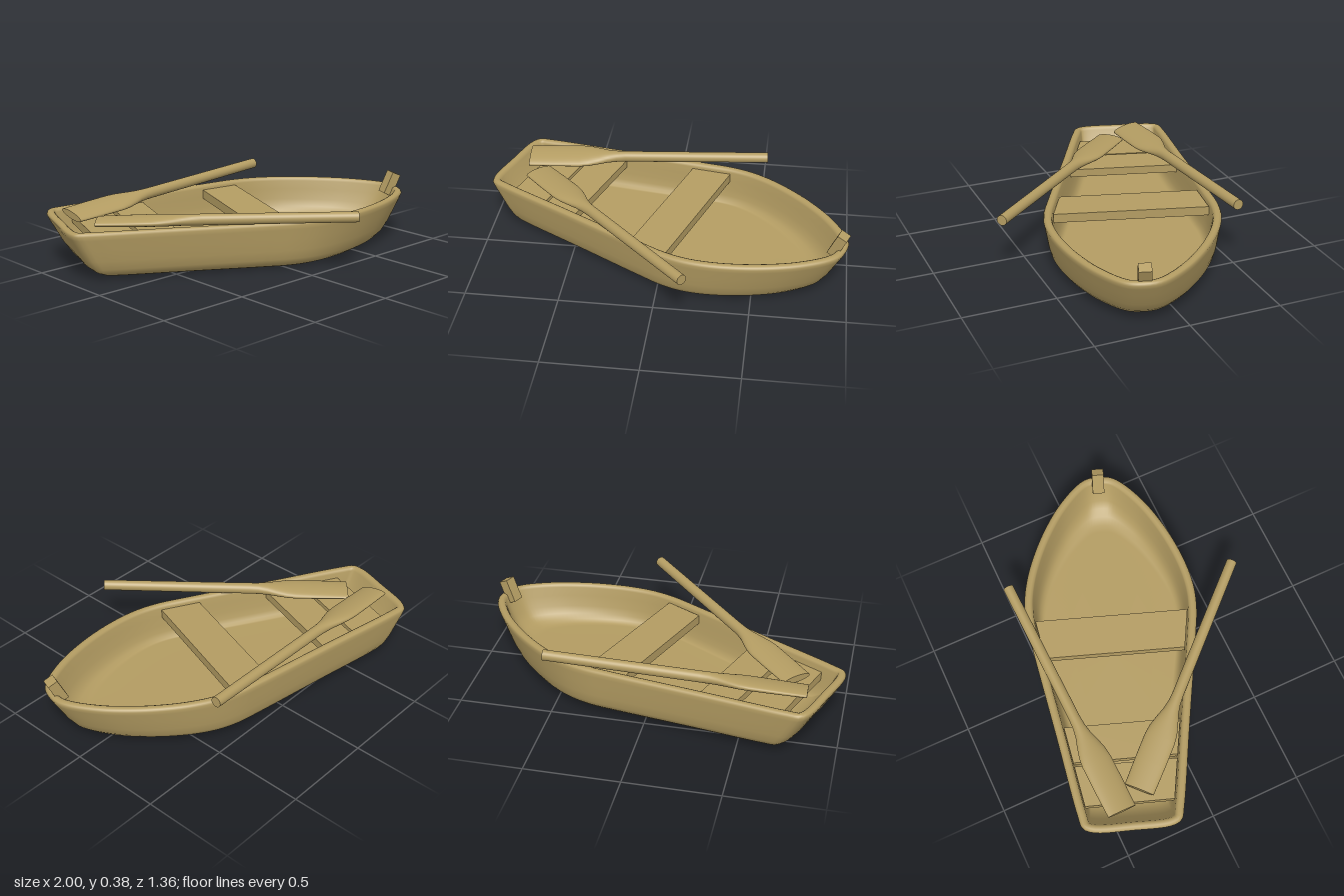
import * as THREE from 'three';

const wood = new THREE.MeshStandardMaterial({ color: 0xb39c62 });

function addMesh(parent, geometry, name) {
  const mesh = new THREE.Mesh(geometry, wood);
  mesh.name = name;
  parent.add(mesh);
  return mesh;
}

// Right half of the rim outline, from bow tip to stern centre: [along, half width]
const HALF = [
  [1, 0], [0.99, 0.07], [0.95, 0.132], [0.83, 0.24], [0.7, 0.322], [0.57, 0.385],
  [0.42, 0.438], [0.28, 0.465], [0.15, 0.465], [0, 0.442], [-0.5, 0.352],
  [-0.93, 0.276], [-1, 0.256], [-1.026, 0.205], [-1.032, 0],
];

// Hull skin, from the keel up over the rim and down to the floor: [scale, inset, height]
const SKIN = [
  [0, 0, 0], [0.5, 0, 0], [0.74, 0.03, 0], [0.8, 0.03, 0.003], [0.842, 0.024, 0.011],
  [0.87, 0.012, 0.028], [0.893, 0.003, 0.055], [0.925, 0, 0.105], [0.96, 0, 0.17], [0.99, 0, 0.225],
  [1, 0, 0.247], [1, 0.005, 0.258], [1, 0.015, 0.264], [1, 0.03, 0.264], [1, 0.041, 0.258],
  [1, 0.046, 0.246], [0.98, 0.046, 0.2], [0.95, 0.046, 0.14], [0.92, 0.046, 0.1],
  [0.88, 0.046, 0.075], [0.83, 0.046, 0.062], [0.79, 0.046, 0.06], [0.5, 0, 0.06], [0, 0, 0.06],
];

function hullGeometry() {
  const right = HALF.map(([x, w]) => new THREE.Vector3(x, 0, -w));
  const left = HALF.slice(1, -1).reverse().map(([x, w]) => new THREE.Vector3(x, 0, w));
  const curve = new THREE.CatmullRomCurve3([...right, ...left], true, 'centripetal');
  const n = 180;
  const outline = curve.getSpacedPoints(n).slice(0, n);
  const positions = [], index = [];
  SKIN.forEach(([scale, inset, y], r) => {
    const side = scale < 0.7 ? scale : 1 - (1 - scale) * 0.55;
    outline.forEach((p, i) => {
      const t = outline[(i + 1) % n].clone().sub(outline[(i + n - 1) % n]).normalize();
      positions.push(p.x * scale + t.z * inset, y, p.z * side - t.x * inset);
      if (r === SKIN.length - 1) return;
      const a = r * n + i, b = r * n + (i + 1) % n;
      index.push(a, b, b + n, a, b + n, a + n);
    });
  });
  const g = new THREE.BufferGeometry();
  g.setAttribute('position', new THREE.Float32BufferAttribute(positions, 3));
  g.setIndex(index);
  g.computeVertexNormals();
  return g;
}

// Plank across the hull whose ends follow the flare of the sides
function bench(parent, x0, x1, top, thickness, name) {
  const half = (x) => 0.212 + 0.175 * (x + 1);
  const shape = new THREE.Shape([
    new THREE.Vector2(x0, -half(x0)), new THREE.Vector2(x1, -half(x1)),
    new THREE.Vector2(x1, half(x1)), new THREE.Vector2(x0, half(x0)),
  ]);
  const g = new THREE.ExtrudeGeometry(shape, { depth: thickness, bevelEnabled: false });
  g.rotateX(-Math.PI / 2);
  addMesh(parent, g, name).position.y = top - thickness;
}

// Oar sections from blade tip to handle: [distance, half width, half thickness]
const OAR = [
  [0, 0.08, 0.02], [0.15, 0.083, 0.023], [0.29, 0.083, 0.026], [0.34, 0.077, 0.027],
  [0.4, 0.06, 0.028], [0.45, 0.043, 0.029], [0.5, 0.033, 0.03], [0.55, 0.03, 0.03], [1.36, 0.028, 0.028],
];

function oar(parent, tip, handle, roll, name) {
  const rows = OAR.length - 1;
  const g = new THREE.CylinderGeometry(1, 1, rows, 32, rows);
  const pos = g.attributes.position;
  for (let i = 0; i < pos.count; i++) {
    const [d, w, t] = OAR[Math.round(pos.getY(i) + rows / 2)];
    pos.setXYZ(i, pos.getX(i) * w, d, pos.getZ(i) * t);
  }
  g.computeVertexNormals();
  const yAxis = handle.clone().sub(tip).normalize();
  const xAxis = new THREE.Vector3(0, 1, 0).cross(yAxis).normalize();
  const zAxis = xAxis.clone().cross(yAxis);
  const mesh = addMesh(parent, g, name);
  mesh.quaternion.setFromRotationMatrix(new THREE.Matrix4().makeBasis(xAxis, yAxis, zAxis));
  mesh.rotateY(roll);
  mesh.position.copy(tip);
}

export function createModel() {
  const model = new THREE.Group();
  model.name = 'rowingBoat';

  // Boat heels slightly and is turned away from the x axis
  const heel = new THREE.Group();
  heel.name = 'boatHeel';
  heel.rotation.set(0.028, 0, 0.005);
  heel.position.y = 0.008;
  model.add(heel);
  const boat = new THREE.Group();
  boat.name = 'boat';
  boat.rotation.y = -0.34;
  boat.position.set(0.037, 0, -0.106);
  heel.add(boat);

  addMesh(boat, hullGeometry(), 'hull');
  bench(boat, -0.06, 0.157, 0.24, 0.05, 'middleBench');
  bench(boat, -0.645, -0.45, 0.225, 0.045, 'rearBench');
  bench(boat, -0.88, -0.665, 0.22, 0.045, 'sternBench');

  // Leaning post on the bow
  const post = addMesh(boat, new THREE.BoxGeometry(0.055, 0.13, 0.065), 'bowPost');
  post.position.set(0.955, 0.28, -0.005);
  post.rotation.z = -0.42;

  // Oars resting on the rim
  oar(model, new THREE.Vector3(-0.83, 0.29, -0.455), new THREE.Vector3(0.52, 0.35, -0.5), 0.22, 'rightOar');
  oar(model, new THREE.Vector3(-0.76, 0.27, -0.325), new THREE.Vector3(0.155, 0.318, 0.655), 0, 'leftOar');

  return model;
}
